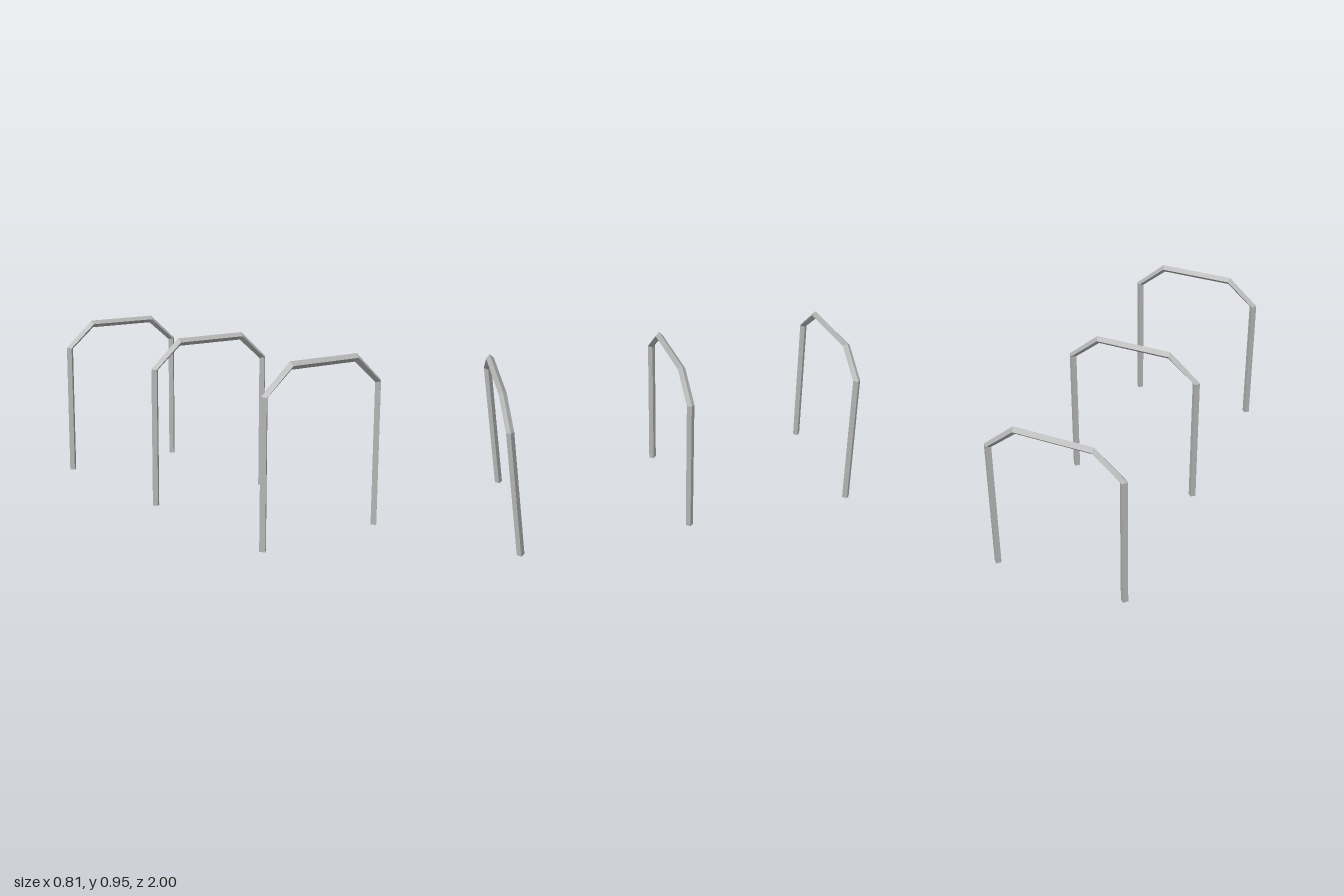
import * as THREE from 'three';

const HALF = 0.0215; // half diagonal of the square tube

// Right half of the bent frame: tube centre and offset to the outer edge.
const HALF_PATH = [
  { x: 0.217, y: 0.924, ox: 0.0055, oy: 0.0215 },
  { x: 0.381, y: 0.784, ox: 0.0215, oy: 0.004 },
  { x: 0.381, y: 0, ox: 0.0215, oy: 0 },
];

// Square tube set on edge and swept along the bent path, with closed ends.
function archGeometry() {
  const mirrored = HALF_PATH.map((p) => ({ ...p, x: -p.x, ox: -p.ox })).reverse();
  const rings = [...mirrored, ...HALF_PATH].map(({ x, y, ox, oy }) => [
    [x + ox, y + oy, 0],
    [x, y, HALF],
    [x - ox, y - oy, 0],
    [x, y, -HALF],
  ]);
  const positions = [];
  const quad = (a, b, c, d) => positions.push(...a, ...b, ...c, ...a, ...c, ...d);
  for (let i = 0; i < rings.length - 1; i++) {
    for (let j = 0; j < 4; j++) {
      const k = (j + 1) % 4;
      quad(rings[i][j], rings[i][k], rings[i + 1][k], rings[i + 1][j]);
    }
  }
  const first = rings[0];
  const last = rings[rings.length - 1];
  quad(first[3], first[2], first[1], first[0]);
  quad(last[0], last[1], last[2], last[3]);

  const geometry = new THREE.BufferGeometry();
  geometry.setAttribute('position', new THREE.Float32BufferAttribute(positions, 3));
  geometry.computeVertexNormals();
  return geometry;
}

export function createModel() {
  const model = new THREE.Group();
  model.name = 'archFrames';
  const metal = new THREE.MeshStandardMaterial({ color: 0xb4b4b4 });
  metal.name = 'grey metal';
  const geometry = archGeometry();

  // Three identical arches in a row
  const spacing = 1 - HALF;
  ['backArch', 'middleArch', 'frontArch'].forEach((name, i) => {
    const arch = new THREE.Mesh(geometry, metal);
    arch.name = name;
    arch.position.z = (i - 1) * spacing;
    model.add(arch);
  });
  return model;
}
